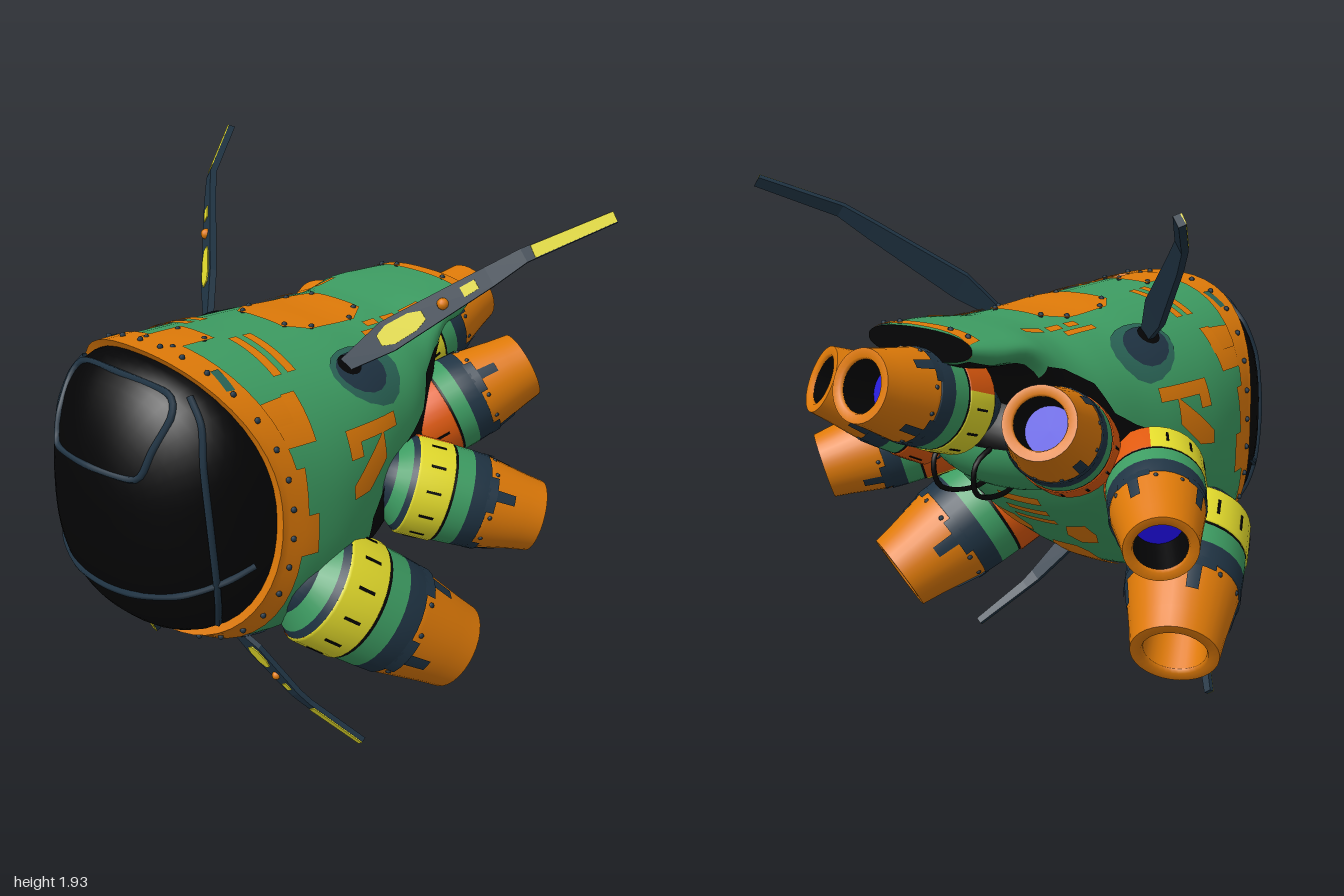
import * as THREE from 'three';
import { ParametricGeometry } from 'three/addons/geometries/ParametricGeometry.js';

const V = (x, y, z) => new THREE.Vector3(x, y, z);
const mat = (name, color) => Object.assign(new THREE.MeshStandardMaterial({ color, side: THREE.DoubleSide }), { name });
const M = {
  green: mat('hull green', 0x3d9c62), orange: mat('plate orange', 0xdf7a08), yellow: mat('panel yellow', 0xe4dc2c),
  navy: mat('trim navy', 0x203444), black: mat('glass black', 0x040405), blue: mat('engine blue', 0x1e0cdc),
  red: mat('band red orange', 0xe05a0e), teal: mat('recess teal', 0x2a6456),
};

// Hull cross-sections: z, half width, bottom y, top y
const SECTIONS = [
  [-0.68, 0.245, 1.37, 1.48], [-0.58, 0.285, 1.34, 1.48], [-0.44, 0.32, 1.31, 1.475], [-0.36, 0.35, 1.17, 1.47], [-0.28, 0.4, 0.95, 1.465],
  [-0.17, 0.46, 0.77, 1.465], [-0.05, 0.5, 0.65, 1.465], [0.1, 0.54, 0.53, 1.475], [0.3, 0.56, 0.4, 1.485], [0.45, 0.545, 0.38, 1.495], [0.575, 0.515, 0.45, 1.5],
];
const N = 2.35, ZF = 0.575, YC = 0.975, H = 0.525;
const interp = new THREE.CubicInterpolant(SECTIONS.map(s => s[0]), SECTIONS.flatMap(s => s.slice(1)), 3);
function section(z) {
  const [w, b, t] = interp.evaluate(THREE.MathUtils.clamp(z, -0.68, ZF));
  return { w, h: (t - b) / 2, c: (t + b) / 2 };
}
const gauge = (x, y) => (Math.abs(x) ** N + Math.abs(y) ** N) ** (1 / N);
// The front rim sweeps forward, more at its top than its bottom
const bow = (y) => (y > YC ? 0.18 : 0.12) * ((y - YC) / H) ** 2;
const sweep = (z, y) => bow(y) * THREE.MathUtils.clamp((z - 0.1) / (ZF - 0.1), 0, 1) ** 2;

function hullRing(phi, z, off = 0, scale = 1) {
  const s = section(z), a = Math.sin(phi), b = Math.cos(phi), r = scale / gauge(a, b);
  const y = s.c + (s.h + off) * b * r;
  return V((s.w + off) * a * r, y, z + sweep(z, y));
}
// Point on the hull skin: a is x for top and bottom, y for the sides
function skin(face, a, z, off, sgn) {
  let z0 = z, x, y;
  for (let i = 0; i < 20; i++) {
    const s = section(z0);
    const k = (d) => Math.max(0, 1 - Math.min(1, Math.abs(d)) ** N) ** (1 / N);
    if (face === 'side') { y = a; x = sgn * (s.w + off) * k((a - s.c) / s.h); }
    else { x = a * sgn; y = s.c + (face === 'top' ? 1 : -1) * (s.h + off) * k(a / s.w); }
    z0 = Math.min(z - sweep(z0, y), 0.59);
  }
  return V(x, y, z);
}
function canopyPoint(x, y, lift = 0) {
  const s = Math.min(1, Math.max(1e-4, gauge(x / 0.495, (y - YC) / 0.51)));
  const e = ZF + bow(YC + (y - YC) / s);
  return V(x, y, e + (1 - e) * Math.sqrt(1 - s * s) + lift);
}

export function createModel() {
  const root = new THREE.Group();
  root.name = 'spaceship';
  const add = (parent, name, geo, m, pos) => {
    const mesh = new THREE.Mesh(geo, m);
    mesh.name = name;
    if (pos) mesh.position.copy(pos);
    parent.add(mesh);
    return mesh;
  };
  const grid = (name, m, f, nu, nv) => add(root, name, new ParametricGeometry((u, v, t) => t.copy(f(u, v)), nu, nv), m);
  const TAU = Math.PI * 2, lerp = THREE.MathUtils.lerp;

  // Hull, rim, tail and canopy
  grid('hull', M.green, (u, v) => hullRing(u * TAU, lerp(ZF, -0.68, v)), 56, 44);
  grid('tailCap', M.black, (u, v) => hullRing(u * TAU, -0.68, 0, 1.001 - v), 40, 2);
  grid('frontRim', M.orange, (u, v) => hullRing(u * TAU, lerp(0.58, 0.5, v), 0.01), 56, 3);
  grid('rimLip', M.orange, (u, v) => hullRing(u * TAU, 0.58, 0.01, lerp(0.93, 1, v)), 56, 1);
  grid('canopy', M.black, (u, v) => {
    const a = Math.sin(u * TAU), b = Math.cos(u * TAU), s = Math.sin(lerp(0.0005, Math.PI / 2, v)), r = s / gauge(a, b);
    return canopyPoint(0.495 * a * r, YC + 0.51 * b * r);
  }, 48, 14);
  // Rounded engine core: dark above, hull green below
  [['engineBayTop', M.black, 0, 1.6], ['engineBelly', M.green, 1.6, Math.PI - 1.6]].forEach(([name, m, t0, tl]) =>
    add(root, name, new THREE.SphereGeometry(1, 28, 12, 0, TAU, t0, tl), m, V(0, 1.03, -0.15)).scale.set(0.4, 0.22, 0.3));

  // Canopy frame lines
  const line = (name, pts, closed) => add(root, name, new THREE.TubeGeometry(
    new THREE.CatmullRomCurve3(pts.map(p => canopyPoint(p[0], p[1], 0.002)), !!closed, 'catmullrom', 0.4), 64, 0.013, 5, !!closed), M.navy);
  line('canopyHatch', [[-0.27, 1.36], [-0.25, 1.25], [-0.23, 1.17], [-0.19, 1.145], [0, 1.145], [0.19, 1.145], [0.23, 1.17],
    [0.25, 1.25], [0.27, 1.36], [0.22, 1.42], [0, 1.445], [-0.22, 1.42]], true);
  line('canopyLowerLine', [[-0.475, 0.83], [-0.43, 0.785], [-0.32, 0.73], [-0.16, 0.7], [0, 0.69], [0.16, 0.7], [0.32, 0.73], [0.43, 0.785], [0.475, 0.83]]);
  for (const s of [-1, 1])
    line('canopySideLine', [[0.28, 1.41], [0.35, 1.33], [0.39, 1.2], [0.415, 1], [0.415, 0.8], [0.39, 0.68], [0.33, 0.57]].map(p => [s * p[0], p[1]]));

  // Thin plates following the skin; each row is z, from, to
  const plate = (name, m, face, rows, sgn = 1, off = 0.008) => grid(name, m, (u, v) => {
    const t = v * (rows.length - 1), i = Math.min(Math.floor(t), rows.length - 2), f = t - i;
    const [z, a, b] = rows[i].map((q, k) => lerp(q, rows[i + 1][k], f));
    return skin(face, lerp(a, b, u), z, off, sgn);
  }, 10, (rows.length - 1) * 4);
  const rect = (z0, z1, a, b) => [[z0, a, b], [z1, a, b]];
  const rivet = (p) => add(root, 'rivet', new THREE.SphereGeometry(0.011, 7, 5), M.navy, p);

  plate('roofHatch', M.orange, 'top', [[0.2, -0.12, 0.12], [0.12, -0.18, 0.18], [-0.1, -0.18, 0.18], [-0.19, -0.12, 0.12]]);
  plate('rimTab', M.orange, 'top', rect(0.68, 0.49, -0.09, 0.09), 1, 0.011);
  plate('tailTrim', M.orange, 'top', rect(-0.63, -0.682, -0.235, 0.235));
  plate('tailUnderside', M.black, 'bottom', [[-0.67, -0.22, 0.22], [-0.56, -0.25, 0.25], [-0.42, -0.29, 0.29], [-0.33, -0.32, 0.32]], 1, 0.006);
  plate('bellyHatch', M.orange, 'bottom', [[0.36, -0.06, 0.06], [0.33, -0.09, 0.09], [0.14, -0.09, 0.09], [0.1, -0.06, 0.06]]);
  for (const z of [-0.08, -0.13, -0.18]) plate('bellyStripe', M.orange, 'bottom', rect(z, z + 0.025, -0.1, 0.1));
  for (const s of [-1, 1]) {
    for (const z of [0.345, 0.41]) plate('roofStripe', M.orange, 'top', rect(z, z + 0.038, 0.11, 0.34), s);
    for (const [z, l] of [[-0.4, 0.1], [-0.27, 0.07], [-0.17, 0.06]]) plate('roofDash', M.orange, 'top', rect(z, z + l, 0.21, 0.24), s);
    plate('roofDash', M.orange, 'top', rect(-0.22, -0.06, 0.255, 0.28), s);
    plate('cornerTab', M.orange, 'top', rect(0.41, 0.6, 0.4, 0.47), s);
    plate('rimVent', M.teal, 'top', rect(0.625, 0.66, 0.26, 0.38), s, 0.015);
    plate('sideStrip', M.orange, 'side', rect(0.42, 0.57, 1.22, 1.29), s);
    plate('sideStrip', M.orange, 'side', rect(0.41, 0.47, 1.22, 1.37), s);
    plate('sideStrip', M.orange, 'side', rect(0.44, 0.55, 0.83, 0.98), s);
    plate('sideStrip', M.orange, 'side', rect(0.48, 0.55, 0.98, 1.15), s);
    plate('sideBracket', M.orange, 'side', rect(0.02, 0.28, 1.17, 1.22), s);
    plate('sideBracket', M.orange, 'side', [[0.28, 0.98, 1.03], [0.2, 0.99, 1.1], [0.1, 1.08, 1.18]], s);
    plate('sideBracket', M.orange, 'side', rect(0.22, 0.28, 1.12, 1.19), s);
    plate('engineBay', M.black, 'side', [[0.17, 0.75, 0.87], [0.08, 0.78, 1.03], [-0.1, 0.82, 1.11], [-0.18, 0.92, 1.16], [-0.24, 1.0, 1.27], [-0.34, 1.2, 1.33], [-0.4, 1.29, 1.345]], s, 0.005);
    plate('bellyPatch', M.orange, 'bottom', [[0.06, 0.12, 0.2], [0.01, 0.09, 0.23], [-0.05, 0.13, 0.22]], s);
    for (const [x, z] of [[0.11, 0.18], [0.165, 0.1], [0.165, -0.09], [0.11, -0.17], [0.07, 0.52], [0.07, 0.66], [0.12, -0.65], [0.2, -0.65]])
      rivet(skin('top', x, z, 0.007, s));
  }
  for (let i = 0; i < 32; i++) rivet(hullRing((i + 0.5) / 32 * TAU, 0.54, 0.012));

  // Thrusters: end centre, outward axis, radius, direction the outer panel faces, panel and inside colours
  const lathe = (g, name, m, pts, p0 = 0, pl = TAU) => add(g, name,
    new THREE.LatheGeometry(pts.map(p => new THREE.Vector2(p[0], p[1])), Math.max(3, Math.round(32 * pl / TAU)), p0, pl), m);
  function thruster(name, end, dir, r, hint, panel, inner) {
    const g = new THREE.Group();
    g.name = name;
    g.position.copy(end);
    g.quaternion.setFromUnitVectors(V(0, 1, 0), dir.normalize());
    g.scale.setScalar(r);
    root.add(g);
    const l = hint.applyQuaternion(g.quaternion.clone().invert()), face = Math.atan2(l.x, l.z), half = 1.9;
    lathe(g, 'nozzle', M.orange, [[0.95, -1.32], [0.95, -1.2], [0.8, -0.4], [0.74, 0]]);
    lathe(g, 'nozzleLip', M.orange, [[0.74, 0], [0.56, 0], [0.53, -0.08]]);
    lathe(g, 'nozzleInside', inner, [[0.53, -0.08], [0.5, -0.95]]);
    add(g, 'engineGlow', new THREE.CircleGeometry(0.51, 24), M.blue, V(0, -0.9, 0)).rotation.x = -Math.PI / 2;
    lathe(g, 'clampRing', M.navy, [[0.94, -1.28], [0.98, -1.3], [1, -1.66]]);
    lathe(g, 'innerRing', M.green, [[1, -1.66], [1.01, -2.03]]);
    lathe(g, 'seam', M.black, [[1.01, -2.03], [1.01, -2.08]]);
    const band = [[1.01, -2.08], [1.04, -2.1], [1.04, -2.8], [1, -2.84]];
    lathe(g, 'outerPanel', panel, band, face - half, 2 * half);
    lathe(g, 'redPanel', M.red, band, face + half, TAU - 2 * half);
    lathe(g, 'collar', M.navy, [[1, -2.84], [0.92, -2.95]]);
    lathe(g, 'socket', M.green, [[0.92, -2.95], [0.7, -3.2]]);
    lathe(g, 'mount', M.navy, [[0.7, -3.2], [0.55, -3.6], [0, -3.75]]);
    for (let i = 0; i < 4; i++) {
      const a = face + (i + 0.5) * TAU / 4;
      lathe(g, 'clampProng', M.navy, [[0.99, -1.34], [0.975, -1.2], [0.885, -0.72]], a - 0.12, 0.24);
      lathe(g, 'clampFoot', M.navy, [[0.99, -1.34], [0.985, -1.14]], a - 0.38, 0.76);
      for (const d of [0.5, 1.07])
        add(g, 'rivet', new THREE.SphereGeometry(0.05, 7, 5), M.navy, V(Math.sin(a + d) * 0.93, -1.17, Math.cos(a + d) * 0.93));
    }
    for (let i = 0; i < 7; i++) {
      const b = face + (i - 3) * 0.52;
      add(g, 'panelSlot', new THREE.BoxGeometry(0.05, 0.3, 0.04), M.black, V(Math.sin(b) * 1.03, -2.45, Math.cos(b) * 1.03)).rotation.y = b;
    }
  }
  thruster('centreThruster', V(0, 1.325, -0.96), V(0, 0.3, -0.95), 0.172, V(0, -1, 0), M.yellow, M.black);
  for (const s of [-1, 1]) {
    thruster('upperThruster', V(0.52 * s, 1.225, -0.66), V(0.4 * s, 0.4, -0.82), 0.172, V(0, -1, 0), M.red, M.black);
    thruster('middleThruster', V(0.82 * s, 0.79, -0.39), V(0.61 * s, -0.29, -0.73), 0.175, V(0.7 * s, -0.2, 0.6), M.yellow, M.black);
    thruster('lowerThruster', V(0.69 * s, 0.305, -0.12), V(0.42 * s, -0.54, -0.74), 0.218, V(0.9 * s, 0.4, 0.2), M.yellow, M.orange);
    // Hoses under the tail
    add(root, 'hose', new THREE.TubeGeometry(new THREE.CatmullRomCurve3(
      [V(0.1 * s, 1.05, -0.35), V(0.1 * s, 0.98, -0.51), V(0.09 * s, 0.87, -0.5), V(0.07 * s, 0.83, -0.33), V(0.06 * s, 0.88, -0.2)]), 24, 0.01, 6), M.black);
  }

  // Fins: flat bent blades with yellow panels on the front face
  function blade(name, m, pts, widths, thick, hint) {
    const v = [], idx = [];
    const along = pts[pts.length - 1].clone().sub(pts[0]).normalize();
    const side = along.clone().cross(hint).normalize(), nrm = side.clone().cross(along);
    pts.forEach((p, i) => [[1, 1], [-1, 1], [-1, -1], [1, -1]].forEach(([a, b]) =>
      v.push(...p.clone().addScaledVector(side, a * widths[i]).addScaledVector(nrm, b * thick).toArray())));
    for (let i = 0; i < pts.length - 1; i++) for (let k = 0; k < 4; k++) {
      const a = i * 4 + k, b = i * 4 + (k + 1) % 4;
      idx.push(a, b, a + 4, b, b + 4, a + 4);
    }
    const e = v.length / 3 - 4;
    idx.push(0, 2, 1, 0, 3, 2, e, e + 1, e + 2, e, e + 2, e + 3);
    let geo = new THREE.BufferGeometry();
    geo.setAttribute('position', new THREE.Float32BufferAttribute(v, 3));
    geo.setIndex(idx);
    geo = geo.toNonIndexed();
    geo.computeVertexNormals();
    add(root, name, geo, m);
    return nrm;
  }
  function fin(name, pts, widths, thick, hint) {
    const n = blade(name, M.navy, pts, widths, thick, hint);
    const at = (i, t) => pts[i].clone().lerp(pts[i + 1], t).addScaledVector(n, thick + 0.001);
    const panel = (i, ts, ks) => blade(name + 'Panel', M.yellow, ts.map(t => at(i, t)),
      ts.map((t, j) => ks[j] * lerp(widths[i], widths[i + 1], t)), 0.003, hint);
    panel(1, [-0.08, 0.03, 0.25, 0.36], [0.35, 0.66, 0.66, 0.35]);
    panel(1, [0.74, 0.88], [0.45, 0.45]);
    panel(3, [0.1, 1], [0.9, 0.9]);
    add(root, name + 'Bolt', new THREE.SphereGeometry(widths[3] * 0.8, 10, 8), M.orange, at(1, 0.55));
  }
  for (const s of [-1, 1]) {
    fin('upperFin', [V(0.36 * s, 1.38, 0.13), V(0.47 * s, 1.49, 0.03), V(0.72 * s, 1.71, -0.2), V(0.8 * s, 1.785, -0.28), V(0.975 * s, 1.905, -0.54)],
      [0.024, 0.056, 0.036, 0.026, 0.021], 0.013, V(0.45 * s, 0.25, 1));
    fin('lowerFin', [V(0.22 * s, 0.46, 0.55), V(0.3 * s, 0.38, 0.51), V(0.42 * s, 0.21, 0.42), V(0.45 * s, 0.17, 0.39), V(0.59 * s, 0.012, 0.25)],
      [0.015, 0.04, 0.026, 0.02, 0.014], 0.01, V(0, -0.3, 1));
    // Dark sockets, nearly flush, where the fins meet the hull
    const oval = (r, x0, z0) => Array.from({ length: 9 }, (_, i) => {
      const a = i / 8 * Math.PI, w = Math.max(0.002, r[0] * Math.sin(a));
      return [z0 + r[1] * Math.cos(a), x0 - w, x0 + w];
    });
    plate('finRecess', M.teal, 'top', oval([0.09, 0.155], 0.395, 0.06), s, 0.004);
    plate('finSocket', M.navy, 'top', oval([0.065, 0.11], 0.395, 0.08), s, 0.008);
    plate('finSlot', M.black, 'top', oval([0.035, 0.05], 0.375, 0.12), s, 0.013);
    plate('finSocket', M.navy, 'bottom', oval([0.06, 0.08], 0.25, 0.5), s, 0.006);
  }
  return root;
}
